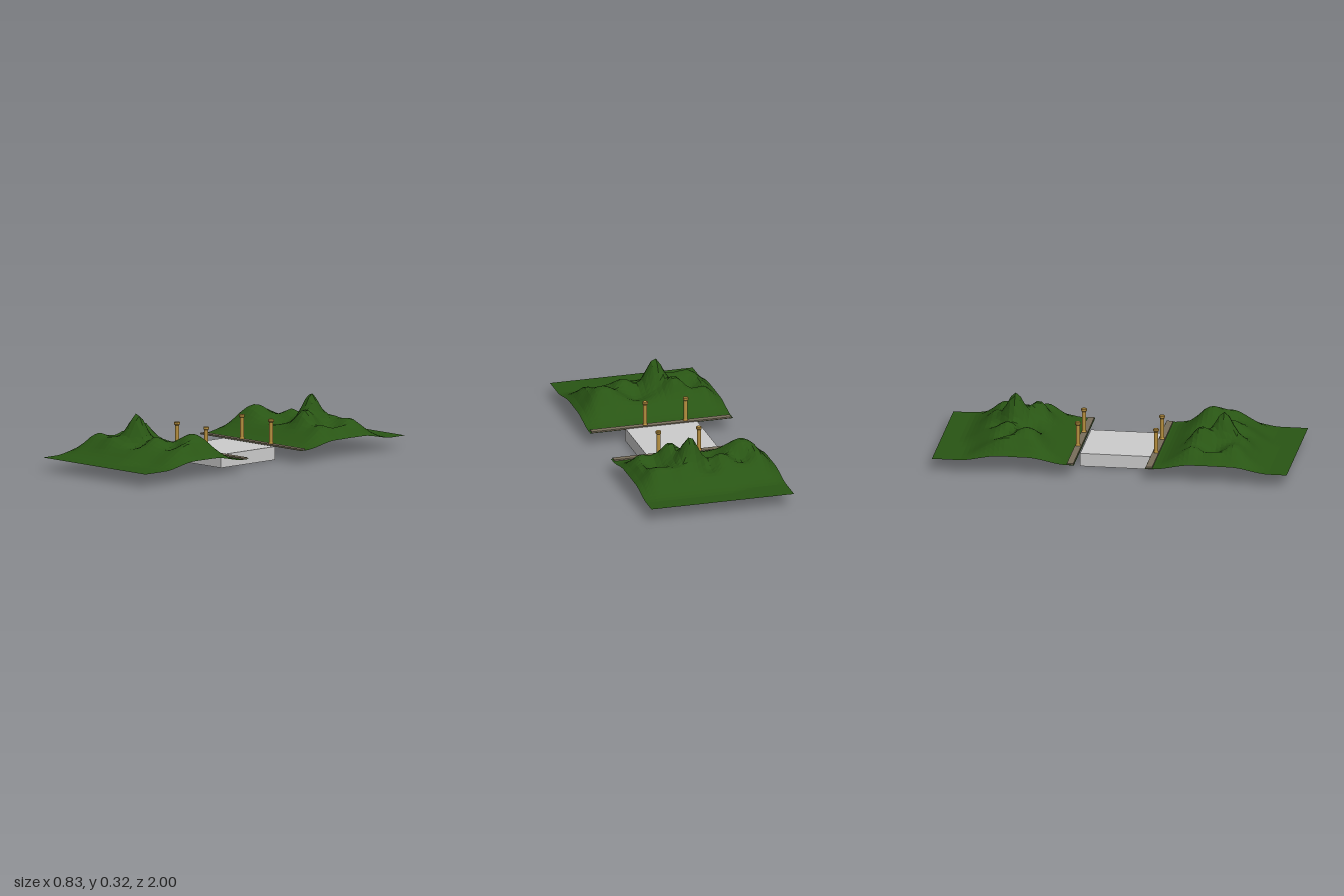
import * as THREE from 'three';

const GROUND = 0.075;
const material = (color, extra = {}) => new THREE.MeshStandardMaterial({ color, ...extra });
const smooth = THREE.MathUtils.smoothstep;

// Hills and hollows of the terrain: x, z, height, radius
const HILLS = [
  [-0.074, 0.60, 0.155, 0.046],
  [-0.155, 0.48, 0.085, 0.045],
  [0.255, 0.49, 0.065, 0.065],
  [0.10, 0.62, 0.045, 0.042],
  [-0.28, 0.69, 0.03, 0.05],
  [-0.15, 0.73, 0.03, 0.045],
  [0.34, 0.60, 0.025, 0.04],
  [-0.35, 0.57, 0.02, 0.035],
  [0.01, 0.68, -0.03, 0.04],
  [0.06, 0.49, -0.035, 0.05],
  [-0.27, 0.56, -0.04, 0.045],
  [0.22, 0.61, -0.03, 0.035],
  [-0.32, 0.45, 0.02, 0.04],
];

function terrainHeight(x, z) {
  const shift = 0.05 * smooth(x, 0.05, 0.25);
  const along = smooth(z, 0.24, 0.46) * (1 - smooth(z + shift, 0.68, 0.9));
  const across = 1 - 0.72 * smooth(Math.abs(x), 0.31, 0.44);
  let h = 0.09;
  for (const [hx, hz, height, r] of HILLS) {
    h += height * Math.exp(-((x - hx) ** 2 + (z - hz) ** 2) / (2 * r * r));
  }
  return GROUND - 0.002 + h * along * across;
}

// Open terrain sheet, displaced from a flat grid
function makeTerrain() {
  const geometry = new THREE.PlaneGeometry(0.83, 0.8, 30, 30);
  geometry.rotateX(-Math.PI / 2).translate(0, 0, 0.6);
  const p = geometry.attributes.position;
  for (let i = 0; i < p.count; i++) p.setY(i, terrainHeight(p.getX(i), p.getZ(i)));
  geometry.computeVertexNormals();
  const mesh = new THREE.Mesh(geometry, material(0x295514, { flatShading: true, side: THREE.DoubleSide }));
  mesh.name = 'terrain';
  return mesh;
}

// Post with a foot and a cap
function makePost(x) {
  const profile = [
    [0, 0], [0.0145, 0], [0.0145, 0.01], [0.012, 0.014], [0.012, 0.127],
    [0.016, 0.132], [0.016, 0.142], [0.013, 0.145], [0, 0.145],
  ].map(([r, y]) => new THREE.Vector2(r, y));
  const post = new THREE.Mesh(new THREE.LatheGeometry(profile, 12), material(0xb8903f, { flatShading: true }));
  post.position.set(x, GROUND, 0.224);
  post.name = 'post';
  return post;
}

// One bank: terrain, walkway along the inner edge, two posts
function makeBank(name) {
  const bank = new THREE.Group();
  bank.name = name;
  const walkway = new THREE.Mesh(new THREE.BoxGeometry(0.81, 0.008, 0.036), material(0x786e5a));
  walkway.position.set(0, GROUND + 0.002, 0.222);
  walkway.name = 'walkway';
  bank.add(makeTerrain(), walkway, makePost(-0.145), makePost(0.09));
  return bank;
}

export function createModel() {
  const model = new THREE.Group();
  model.name = 'valleyCrossing';

  // Middle block
  const block = new THREE.Mesh(new THREE.BoxGeometry(0.415, GROUND, 0.415), material(0xcccccc));
  block.position.set(0, GROUND / 2, 0.0135);
  block.name = 'middleBlock';

  // Two identical banks facing each other
  const front = makeBank('frontBank');
  const back = makeBank('backBank');
  back.rotation.y = Math.PI;
  model.add(block, front, back);
  return model;
}
